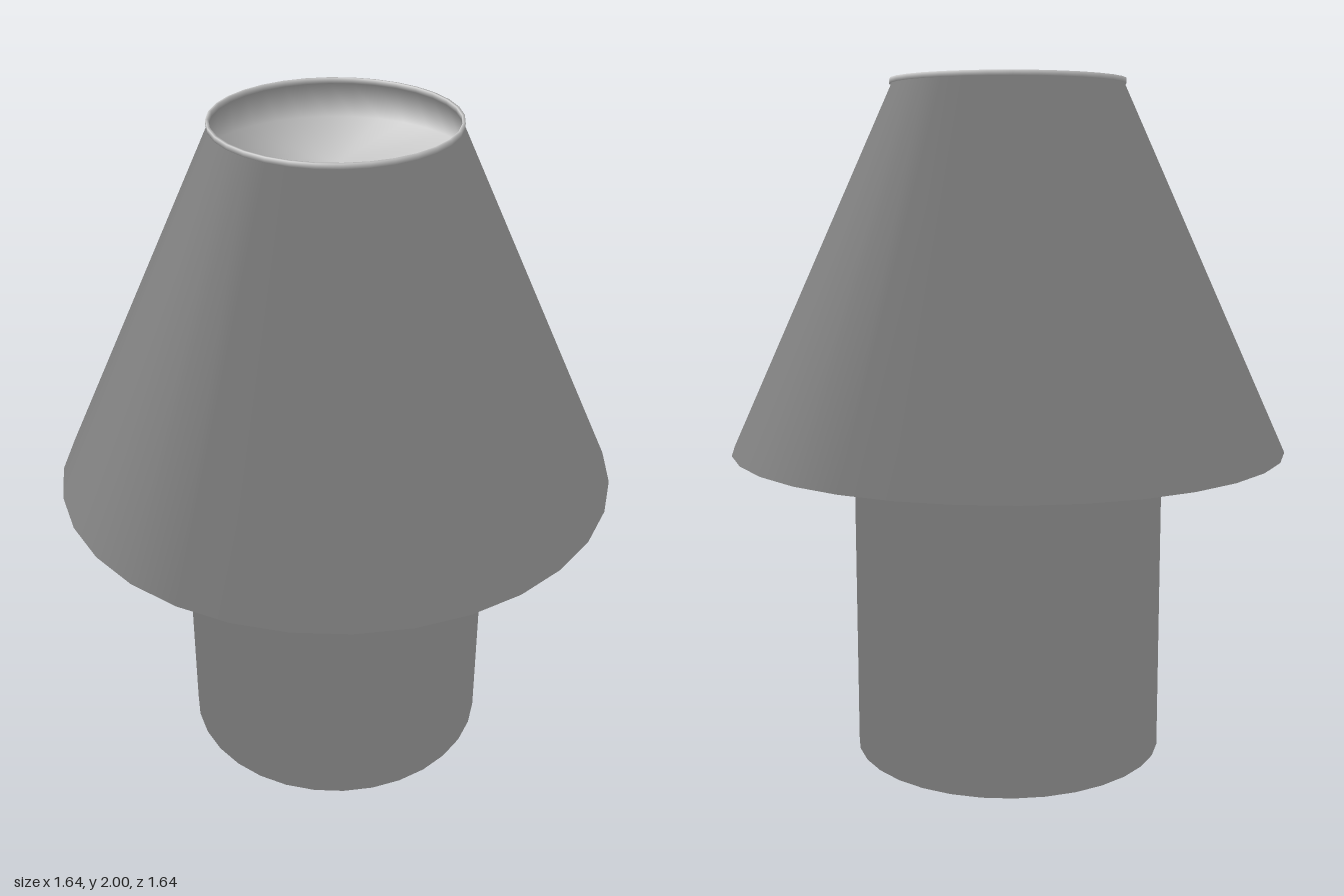
import * as THREE from 'three';

const SIDES = 32;

// Revolves a profile and shades it softly: each corner takes the even mean
// of the directions of the two faces that meet there
function softLathe(profile) {
  const points = profile.map(([r, y]) => new THREE.Vector2(r, y));
  const geometry = new THREE.LatheGeometry(points, SIDES);

  const faces = points.slice(1).map((p, i) =>
    new THREE.Vector2(p.y - points[i].y, points[i].x - p.x).normalize());
  const corners = points.map((p, i) =>
    new THREE.Vector2()
      .add(faces[Math.max(i - 1, 0)])
      .add(faces[Math.min(i, faces.length - 1)])
      .normalize());

  const normals = geometry.attributes.normal;
  for (let i = 0; i < normals.count; i++) {
    const angle = Math.floor(i / points.length) / SIDES * Math.PI * 2;
    const n = corners[i % points.length];
    normals.setXYZ(i, n.x * Math.sin(angle), n.y, n.x * Math.cos(angle));
  }
  return geometry;
}

export function createModel() {
  const group = new THREE.Group();
  const material = new THREE.MeshStandardMaterial({ color: 0xcccccc, side: THREE.DoubleSide });

  // One continuous skin, [radius, height] from the bottom centre to the recess floor
  const profile = [
    [0, 0], [0.463, 0],                                  // foot
    [0.463, 0.925],                                      // base wall
    [0.82, 0.925],                                       // shade underside
    [0.338, 1.985],                                      // shade cone
    [0.343, 1.985], [0.343, 2],                          // lip, outside
    [0.335, 2], [0.335, 1.985],                          // lip, inside
    [0.337, 1.985], [0.388, 1.87],                       // recess wall
    [0, 1.87],                                           // recess floor
  ];

  const lamp = new THREE.Mesh(softLathe(profile), material);
  lamp.name = 'lampBaseAndShade';
  group.add(lamp);
  return group;
}
